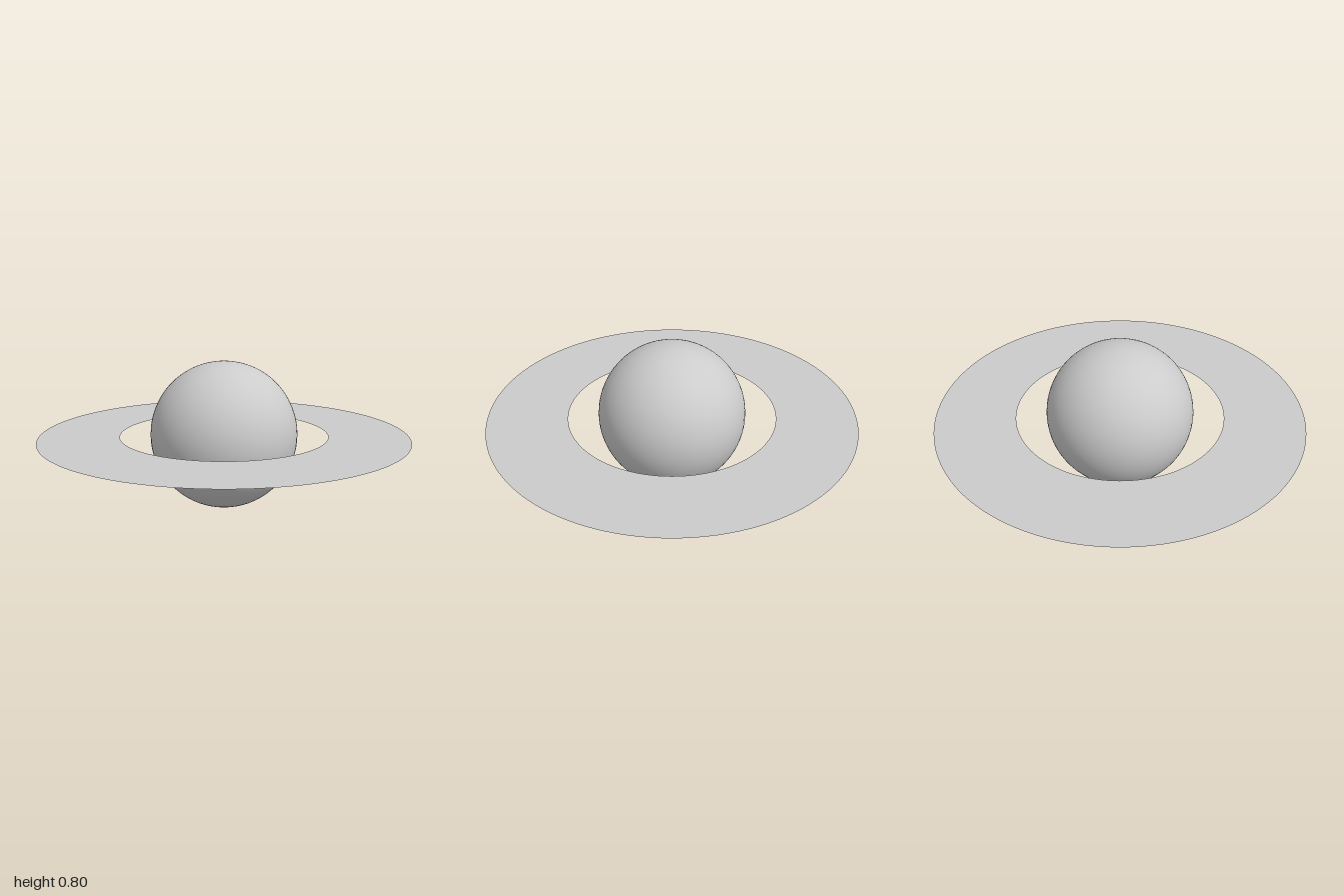
import * as THREE from 'three';

const RADIUS = 0.4;

export function createModel() {
  const group = new THREE.Group();
  group.name = 'ringedPlanet';

  // Smooth globe resting on the ground plane
  const globe = new THREE.Mesh(
    new THREE.SphereGeometry(RADIUS, 64, 48),
    new THREE.MeshStandardMaterial({ color: 0xcccccc })
  );
  globe.name = 'planet';
  globe.position.y = RADIUS;
  group.add(globe);

  // Paper-thin flat ring around the equator, visible from both sides
  const ring = new THREE.Mesh(
    new THREE.RingGeometry(0.565, 1, 128),
    new THREE.MeshStandardMaterial({ color: 0xcccccc, side: THREE.DoubleSide })
  );
  ring.name = 'ring';
  ring.rotation.x = -Math.PI / 2;
  ring.position.y = RADIUS;
  group.add(ring);

  return group;
}
